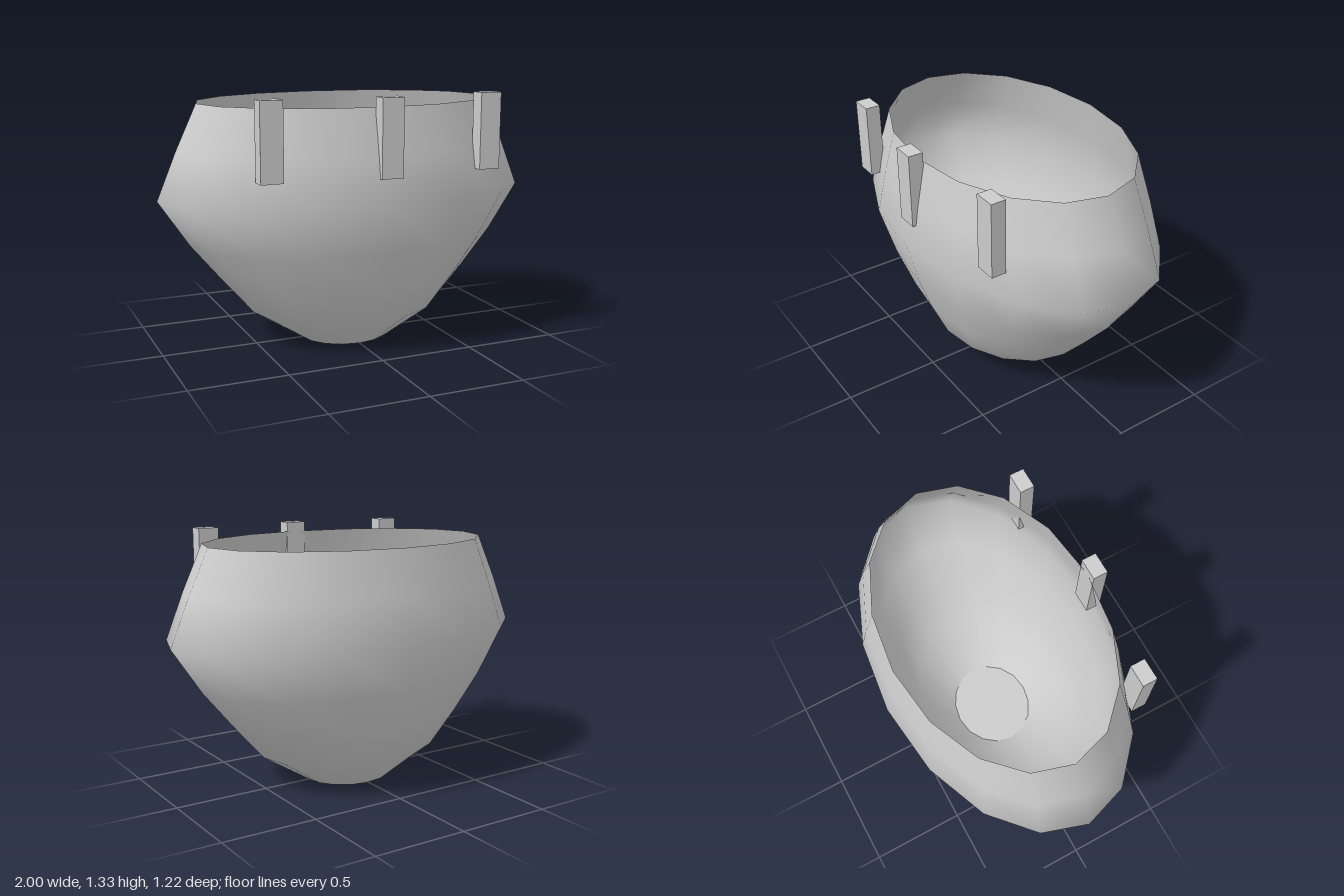
import * as THREE from 'three';
import { mergeVertices } from 'three/addons/utils/BufferGeometryUtils.js';

const SIDES = 16;

// Oval cross-sections from floor to rim: height, half width, half depth
const RINGS = [
  [0, 0.24, 0.215],
  [0.17, 0.51, 0.395],
  [0.36, 0.675, 0.48],
  [0.56, 0.84, 0.55],
  [0.8, 1, 0.61],
  [1.04, 0.9, 0.572],
  [1.275, 0.79, 0.525],
];

// Lathe the wall, then squash each ring to its own depth
function wallGeometry() {
  const lathe = new THREE.LatheGeometry(RINGS.map(([y, rx]) => new THREE.Vector2(rx, y)), SIDES);
  const pos = lathe.attributes.position;
  for (let i = 0; i < pos.count; i++) {
    const [, rx, rz] = RINGS[i % RINGS.length];
    pos.setZ(i, pos.getZ(i) * rz / rx);
  }
  lathe.deleteAttribute('normal');
  lathe.deleteAttribute('uv');
  const geo = mergeVertices(lathe, 1e-4); // joins the seam for smooth shading
  geo.computeVertexNormals();
  return geo;
}

export function createModel() {
  const group = new THREE.Group();
  const grey = new THREE.MeshStandardMaterial({ color: 0xcccccc, side: THREE.DoubleSide });
  grey.name = 'light grey';

  const add = (name, geo) => {
    const mesh = new THREE.Mesh(geo, grey);
    mesh.name = name;
    group.add(mesh);
    return mesh;
  };

  // Open thin-walled bowl
  add('bowlWall', wallGeometry());

  // Flat oval floor
  const [, floorX, floorZ] = RINGS[0];
  add('bowlFloor', new THREE.CircleGeometry(1, SIDES).scale(floorX, floorZ, 1).rotateX(-Math.PI / 2));

  // Three upright pegs along the front rim
  const peg = new THREE.BoxGeometry(0.113, 0.385, 0.077);
  for (const [name, x, z] of [['rightPeg', -0.577, 0.483], ['middlePeg', -0.002, 0.561], ['leftPeg', 0.575, 0.483]]) {
    add(name, peg).position.set(x, 1.133, z);
  }

  return group;
}
